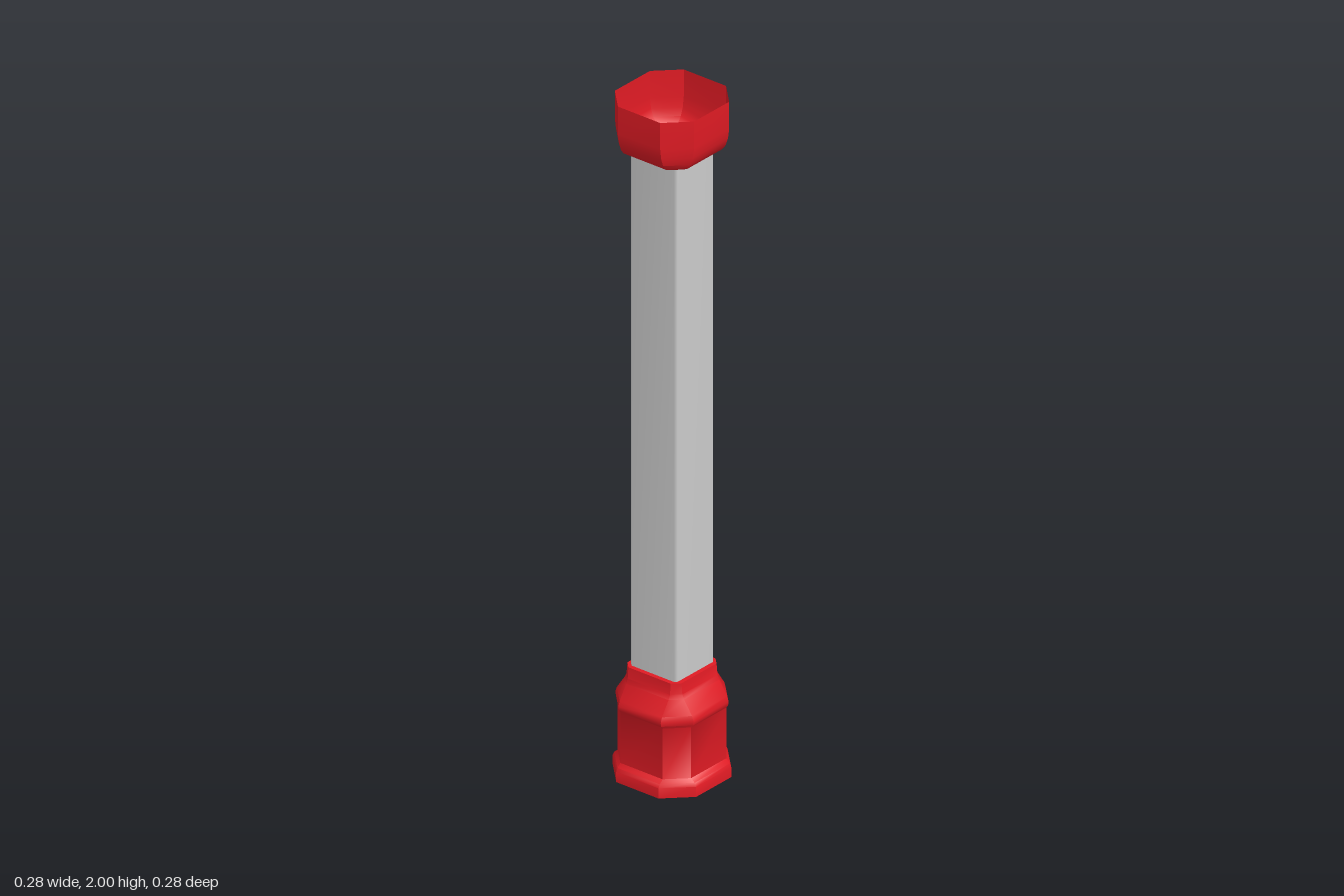
import * as THREE from 'three';
import { toCreasedNormals } from 'three/addons/utils/BufferGeometryUtils.js';

// Open sleeve lofted through chamfered squares; each section is [y, half width]
function sleeve(name, sections, flat, color, crease) {
  const positions = [], index = [];
  for (const [y, w] of sections) {
    const ring = [[flat, w], [w, flat], [w, -flat], [flat, -w],
      [-flat, -w], [-w, -flat], [-w, flat], [-flat, w]];
    for (const [x, z] of ring) positions.push(x, y, z);
  }
  for (let s = 0; s < sections.length - 1; s++) {
    for (let i = 0; i < 8; i++) {
      const a = s * 8 + i, b = s * 8 + (i + 1) % 8;
      index.push(a, b, b + 8, a, b + 8, a + 8);
    }
  }
  let geometry = new THREE.BufferGeometry();
  geometry.setAttribute('position', new THREE.Float32BufferAttribute(positions, 3));
  geometry.setIndex(index);
  geometry.computeVertexNormals();
  if (crease) geometry = toCreasedNormals(geometry, crease);
  const mesh = new THREE.Mesh(geometry,
    new THREE.MeshStandardMaterial({ color, side: THREE.DoubleSide }));
  mesh.name = name;
  return mesh;
}

export function createModel() {
  const group = new THREE.Group();
  group.name = 'column';
  const red = 0xe01b24;

  // Hollow square shaft with narrow corner chamfers
  group.add(sleeve('shaft', [[0.3, 0.079], [1.85, 0.079]], 0.072, 0xcccccc));

  // Stepped foot: skirt, body, rounded shoulder, neck and lip against the shaft
  group.add(sleeve('base', [
    [0, 0.142], [0.03, 0.142], [0.04, 0.137], [0.05, 0.125],
    [0.2, 0.125], [0.208, 0.131], [0.22, 0.133], [0.235, 0.128],
    [0.275, 0.101], [0.288, 0.095], [0.32, 0.092], [0.32, 0.079],
  ], 0.072, red, 0.75));

  // Open cup on top, rounded in towards the shaft
  group.add(sleeve('capital', [
    [1.845, 0.079], [1.846, 0.1], [1.852, 0.112], [1.867, 0.123],
    [1.89, 0.131], [1.92, 0.135], [2, 0.135],
  ], 0.072, red, 0.75));

  return group;
}
